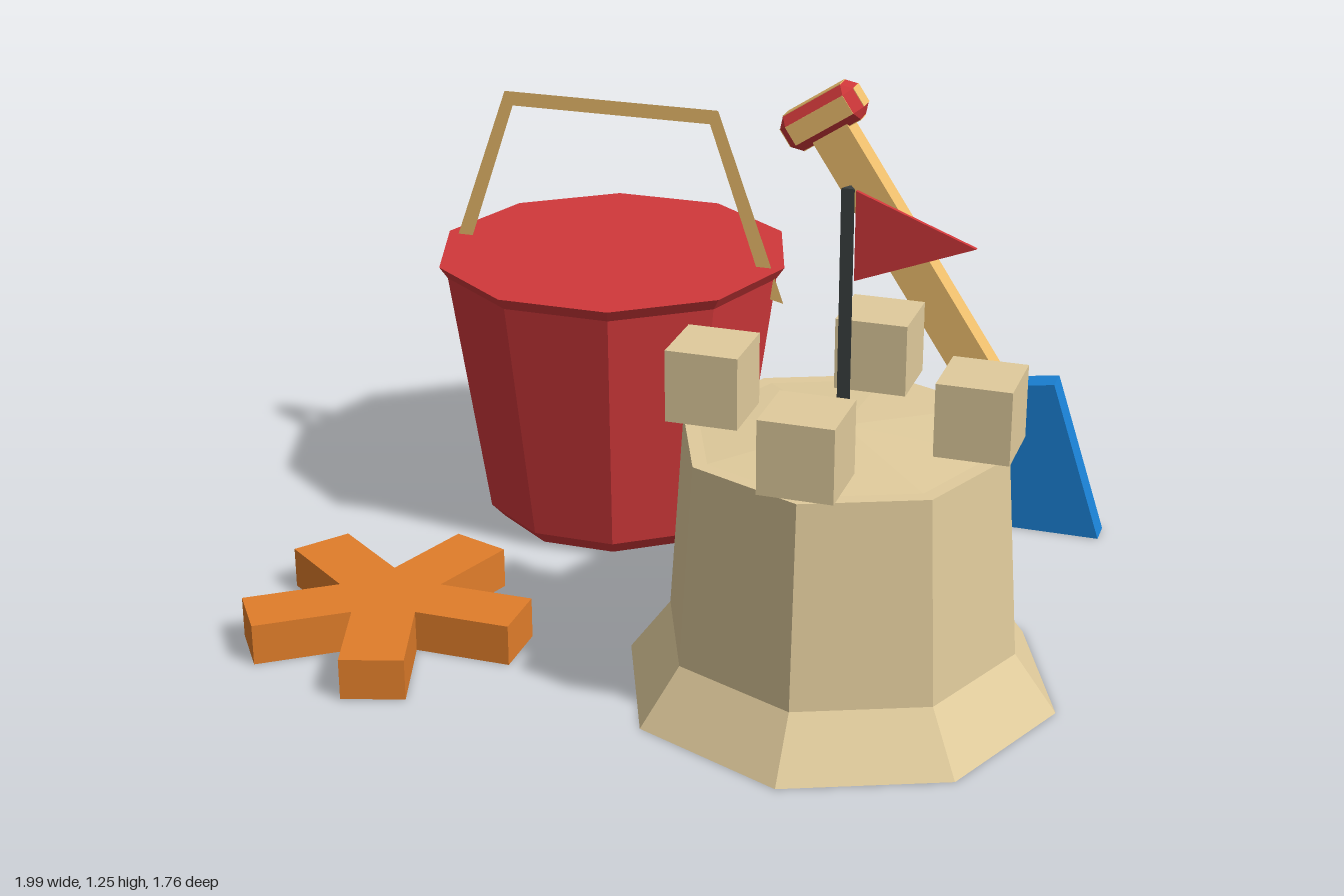
import * as THREE from 'three';
import { ConvexGeometry } from 'three/addons/geometries/ConvexGeometry.js';

const mat = (color) => new THREE.MeshStandardMaterial({ color, flatShading: true });
const RED = mat(0xd0383a), SAND = mat(0xe0cb9c), ORANGE = mat(0xe07d2a);
const BLUE = mat(0x1a82d6), WOOD = mat(0xf0c06e), DARK = mat(0x3a4040);

function add(parent, name, geometry, material, x = 0, y = 0, z = 0) {
  const mesh = new THREE.Mesh(geometry, material);
  mesh.name = name;
  mesh.position.set(x, y, z);
  parent.add(mesh);
  return mesh;
}

function group(parent, name, x = 0, y = 0, z = 0) {
  const g = new THREE.Group();
  g.name = name;
  g.position.set(x, y, z);
  parent.add(g);
  return g;
}

const v2 = (pts) => pts.map(([x, y]) => new THREE.Vector2(x, y));
const lathe = (pts, sides, start = 0) => new THREE.LatheGeometry(v2(pts), sides, start);

// Flat outline of the given depth, centred on z = 0
function slab(pts, depth) {
  const geo = new THREE.ExtrudeGeometry(new THREE.Shape(v2(pts)), { depth, bevelEnabled: false });
  return geo.translate(0, 0, -depth / 2);
}

// Bent bail with a triangular section: flat front, ridge at the back
function bailGeometry() {
  const half = [[[0.477, 0.647], [0.43, 0.658]], [[0.296, 1.156], [0.274, 1.118]]];
  const mirrored = half.map((s) => s.map(([x, y]) => [-x, y]));
  const rings = [...mirrored, ...half.reverse()].map(([o, i]) => [
    [o[0], o[1], 0.014], [i[0], i[1], 0.014],
    [(o[0] + i[0]) / 2, (o[1] + i[1]) / 2, -0.024],
  ]);
  const pos = [];
  const tri = (...p) => p.forEach((q) => pos.push(...q));
  for (let i = 0; i < rings.length - 1; i++) {
    for (let k = 0; k < 3; k++) {
      const n = (k + 1) % 3, A = rings[i], B = rings[i + 1];
      tri(A[k], A[n], B[n]);
      tri(A[k], B[n], B[k]);
    }
  }
  const s = rings[0], e = rings[rings.length - 1];
  tri(s[0], s[2], s[1]);
  tri(e[0], e[1], e[2]);
  const geo = new THREE.BufferGeometry();
  geo.setAttribute('position', new THREE.Float32BufferAttribute(pos, 3));
  geo.computeVertexNormals();
  return geo;
}

// Box with every edge and corner cut off by c; a, b, d are half sizes
function chamferedBox(a, b, d, c) {
  const pts = [];
  for (const x of [-1, 1]) for (const y of [-1, 1]) for (const z of [-1, 1]) {
    pts.push(new THREE.Vector3(x * a, y * (b - c), z * (d - c)));
    pts.push(new THREE.Vector3(x * (a - c), y * b, z * (d - c)));
    pts.push(new THREE.Vector3(x * (a - c), y * (b - c), z * d));
  }
  return new ConvexGeometry(pts);
}

export function createModel() {
  const model = new THREE.Group();
  model.name = 'beachToys';

  // Ten-sided bucket with closed top and bail
  const bucket = group(model, 'bucket', -0.385, 0, -0.432);
  add(bucket, 'bucketBody', lathe([
    [0, 0], [0.318, 0], [0.355, 0.04], [0.453, 0.71], [0.475, 0.742], [0, 0.742],
  ], 10, Math.PI / 2), RED);
  add(bucket, 'bucketHandle', bailGeometry(), WOOD);

  // Eight-sided sand castle with flared foot
  const castle = group(model, 'sandCastle', 0.465, 0, 0.346);
  add(castle, 'castleBody', lathe([
    [0, 0], [0.53, 0], [0.427, 0.14], [0.392, 0.64], [0.355, 0.64], [0, 0.667],
  ], 8), SAND);
  // Four battlement blocks
  for (let i = 0; i < 4; i++) {
    const a = i * Math.PI / 2;
    add(castle, 'battlement', new THREE.BoxGeometry(0.176, 0.178, 0.176), SAND,
      0.32 * Math.cos(a), 0.746, 0.32 * Math.sin(a));
  }
  // Flag on a three-sided pole
  const pole = add(castle, 'flagPole', new THREE.CylinderGeometry(0.018, 0.018, 0.605, 3), DARK, 0, 0.9425, 0.003);
  pole.rotation.y = Math.PI;
  add(castle, 'flag', slab([[0.02, 1.03], [0.297, 1.136], [0.02, 1.243]], 0.01), RED, 0, 0, 0.012);

  // Five-armed starfish lying flat
  const outline = [];
  const L = 0.352, w = 0.078, notch = w / Math.sin(Math.PI / 5);
  for (let i = 0; i < 5; i++) {
    const a = i * Math.PI * 2 / 5, c = Math.cos(a), s = Math.sin(a);
    outline.push([L * c + w * s, L * s - w * c], [L * c - w * s, L * s + w * c]);
    const n = a + Math.PI / 5;
    outline.push([notch * Math.cos(n), notch * Math.sin(n)]);
  }
  const star = add(model, 'starfish', slab(outline, 0.105), ORANGE, -0.667, 0.0525, 0.455);
  star.rotation.x = -Math.PI / 2;

  // Shovel leaning with its blade on the ground
  const shovel = group(model, 'shovel', 0, 0, -0.647);
  add(shovel, 'shovelBlade', slab([[0.54, 0], [0.925, 0], [0.785, 0.43], [0.54, 0.395]], 0.071), BLUE);
  const handle = group(shovel, 'shovelHandle', 0.131, 1.1, 0);
  handle.rotation.z = 0.581;
  add(handle, 'shaft', new THREE.BoxGeometry(0.11, 0.85, 0.068), WOOD, 0, -0.465, 0);
  // Grip with red chamfers and wooden faces
  const a = 0.117, b = 0.053, d = 0.051, c = 0.025, e = 0.002;
  add(handle, 'gripEdges', chamferedBox(a, b, d, c), RED);
  for (const [x, y, z] of [[a + e, b - c, d - c], [a - c, b + e, d - c], [a - c, b - c, d + e]]) {
    add(handle, 'gripFaces', new THREE.BoxGeometry(2 * x, 2 * y, 2 * z), WOOD);
  }
  return model;
}
